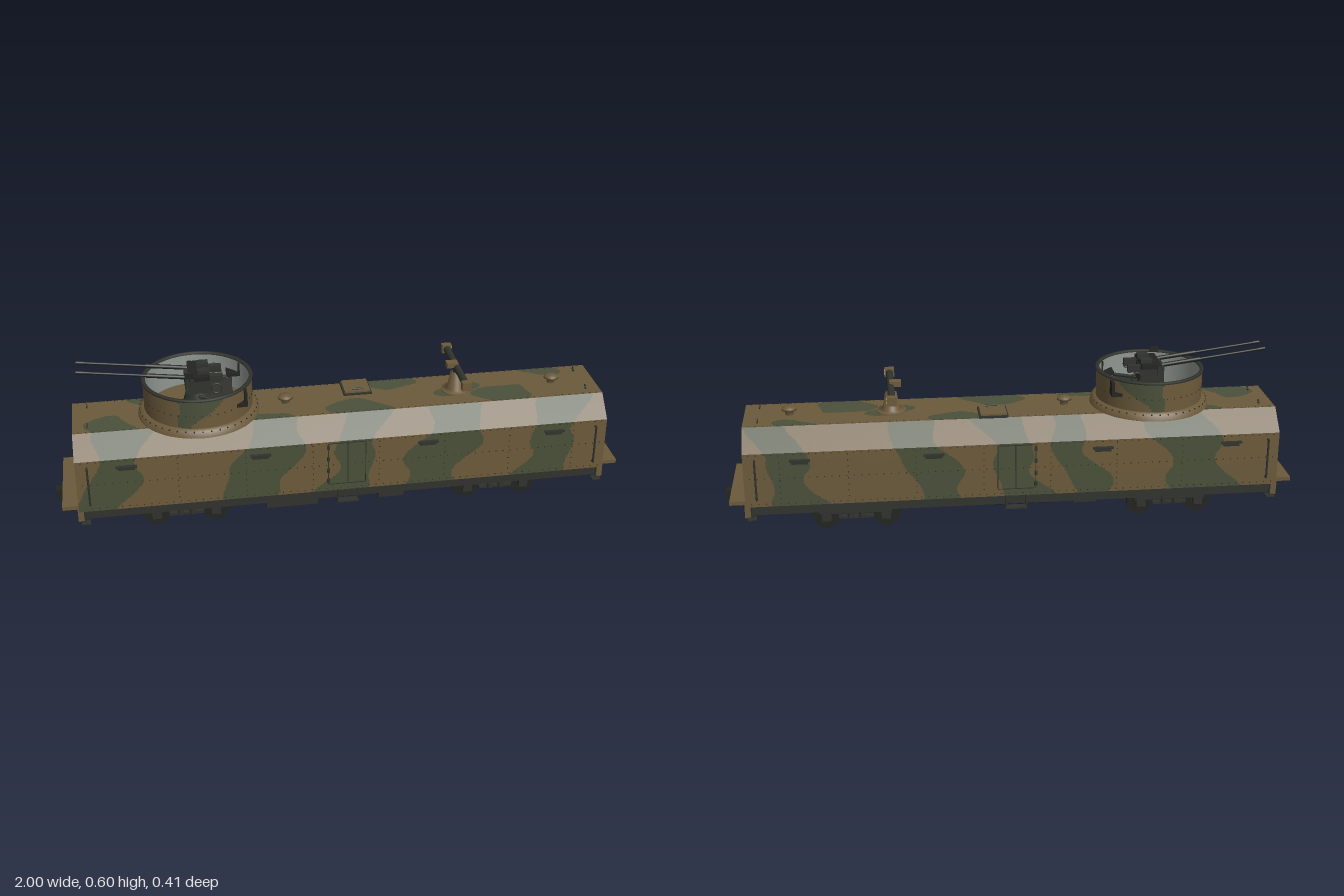
import * as THREE from 'three';
import { mergeGeometries, mergeVertices } from 'three/addons/utils/BufferGeometryUtils.js';

const mat = (name, color, side = THREE.FrontSide) => {
  const m = new THREE.MeshStandardMaterial({ color, side });
  m.name = name;
  return m;
};
const brown = mat('earthBrown', 0x6c5a3b), green = mat('camoGreen', 0x4a513a);
const dark = mat('darkSteel', 0x31332d), black = mat('gunMetal', 0x232522);
const grey = mat('interiorGrey', 0x8f9690, THREE.DoubleSide), glass = mat('lensGlass', 0xb4b8a8);
const under = mat('underfloorBrown', 0x4c4030);

const add = (parent, name, geo, material, x = 0, y = 0, z = 0) => {
  const m = new THREE.Mesh(geo, material);
  m.name = name;
  m.position.set(x, y, z);
  parent.add(m);
  return m;
};
const box = (p, name, m, w, h, d, x, y, z) => add(p, name, new THREE.BoxGeometry(w, h, d), m, x, y, z);
const cyl = (p, name, m, r0, r1, h, x, y, z, n = 24) => add(p, name, new THREE.CylinderGeometry(r1, r0, h, n), m, x, y, z);
const rod = (p, name, m, a, b, r, n = 10) => {
  const A = new THREE.Vector3(...a), B = new THREE.Vector3(...b), d = B.clone().sub(A);
  const o = add(p, name, new THREE.CylinderGeometry(r, r, d.length(), n), m);
  o.position.copy(A).add(B).multiplyScalar(0.5);
  o.quaternion.setFromUnitVectors(new THREE.Vector3(0, 1, 0), d.normalize());
  return o;
};
const lathe = (p, name, m, pts, x = 0, y = 0, z = 0, n = 64) =>
  add(p, name, new THREE.LatheGeometry(pts.map(q => new THREE.Vector2(...q)), n), m, x, y, z);

// Camouflage rules: leaning bands on the flanks, blobs on the roof
const frontBands = [[-0.8, 0.08], [-0.29, 0.1], [0.02, 0.07], [0.33, 0.1], [0.72, 0.08]];
const backBands = [[0.77, 0.07], [0.29, 0.08], [0, 0.07], [-0.22, 0.06], [-0.62, 0.1]];
const roofBlobs = [[0.05, 0.08, 0.11, 0.06], [0.2, -0.09, 0.1, 0.05], [0.42, 0, 0.08, 0.04],
  [0.58, 0.06, 0.1, 0.07], [-0.8, 0.08, 0.08, 0.07], [-0.28, 0.1, 0.09, 0.04], [-0.62, -0.1, 0.1, 0.04], [0.76, -0.1, 0.07, 0.04]];
const flankCamo = (x, y, z) => {
  const u = x - 0.4 * (y - 0.25) + 0.022 * Math.sin(23 * y + 9 * x) + 0.014 * Math.sin(47 * y - 17 * x);
  return (z > 0 ? frontBands : backBands).some(([c, w]) => Math.abs(u - c) < w);
};
const roofCamo = (x, y, z) => roofBlobs.some(([cx, cz, rx, rz]) =>
  Math.hypot((x - cx + 0.02 * Math.sin(40 * z)) / rx, (z - cz + 0.012 * Math.sin(30 * x)) / rz) < 1);
const endCamo = (x, y, z) => {
  const s = x > 0 ? z : -z;
  if (s < 0) return s > -0.11 + 0.018 * Math.sin(22 * y);
  return y > 0.215 + 0.01 * Math.sin(40 * s) && s > 0.09 - Math.max(0, y - 0.29) * 0.5;
};
const turretCamo = (x, y, z) => Math.abs(x + 0.03 * Math.sign(z) - 0.5 * (y - 0.47) + 0.01 * Math.sin(60 * y)) < 0.015 + (y - 0.42) * 0.6;

// Painted surface P(u,v): rows of strips, split wherever the colour changes
function painted(parent, name, P, nu, nv, camo, maxRun = 1e9) {
  const pos = [[], []];
  for (let j = 0; j < nv; j++) {
    const at = i => (camo(...P((i + 0.5) / nu, (j + 0.5) / nv)) ? 1 : 0);
    for (let i = 0; i < nu;) {
      const c = at(i), s = i;
      while (i < nu && i - s < maxRun && at(i) === c) i++;
      const [a, b, d, e] = [[s, j], [i, j], [i, j + 1], [s, j + 1]].map(([k, l]) => P(k / nu, l / nv));
      pos[c].push(...a, ...b, ...d, ...a, ...d, ...e);
    }
  }
  pos.forEach((arr, c) => {
    if (!arr.length) return;
    let g = new THREE.BufferGeometry();
    g.setAttribute('position', new THREE.Float32BufferAttribute(arr, 3));
    g = mergeVertices(g, 1e-5);
    g.computeVertexNormals();
    add(parent, name + (c ? 'Green' : 'Brown'), g, c ? green : brown);
  });
}

const L = 0.92, DOOR = 0.057, DOOR_TOP = 0.385;
const halfWidth = y => (y < 0.33 ? 0.18 : 0.18 - (y - 0.33));
const lerp = (a, b, t) => a + (b - a) * t;
const sectionShape = (i) => new THREE.Shape([[-0.18 + i, 0.137 + i], [0.18 - i, 0.137 + i], [0.18 - i, 0.33 - i * 0.4],
  [0.11 - i * 0.4, 0.4 - i], [-0.11 + i * 0.4, 0.4 - i], [-0.18 + i, 0.33 - i * 0.4]].map(p => new THREE.Vector2(...p)));
const extrudeX = (shape, x0, x1) => new THREE.ExtrudeGeometry(shape, { depth: x1 - x0, bevelEnabled: false })
  .rotateY(Math.PI / 2).translate(x0, 0, 0);

function hull(root) {
  const g = new THREE.Group();
  g.name = 'armouredHull';
  root.add(g);
  const panel = (name, y0, z0, y1, z1, nv, camo) =>
    painted(g, name, (u, v) => [lerp(-L, L, z0 + z1 >= 0 ? u : 1 - u), lerp(y0, y1, v), lerp(z0, z1, v)], 460, nv, camo);
  for (const s of [1, -1]) {
    panel('sidePlate', 0.137, 0.18 * s, 0.33, 0.18 * s, 44, flankCamo);
    panel('slopedPlate', 0.33, 0.18 * s, 0.4, 0.11 * s, 18, flankCamo);
  }
  panel('roofPlate', 0.4, 0.11, 0.4, -0.11, 46, roofCamo);
  const ring = sectionShape(0.001);
  ring.holes.push(sectionShape(0.01));
  add(g, 'innerLining', extrudeX(ring, -L, L), grey);
  // End walls, each with an open doorway
  const wall = sectionShape(0.002);
  wall.holes.push(new THREE.Path([[-DOOR, 0.15], [-DOOR, DOOR_TOP], [DOOR, DOOR_TOP], [DOOR, 0.15]].map(p => new THREE.Vector2(...p))));
  for (const s of [1, -1]) {
    add(g, 'endWall', extrudeX(wall, s * 0.908 - 0.006, s * 0.908 + 0.006), grey);
    const end = (a, b, y0, y1, nv) => painted(g, 'endPlate', (u, v) => {
      const y = lerp(y0, y1, v);
      return [s * 0.915, y, -s * lerp(a(y), b(y), u)];
    }, 60, nv, endCamo);
    const inset = y => halfWidth(y) - 0.004;
    end(y => -inset(y), () => -DOOR, 0.14, 0.398, 60);
    end(() => DOOR, inset, 0.14, 0.398, 60);
    end(() => -DOOR, () => DOOR, DOOR_TOP, 0.398, 4);
  }
  // Rivets along the seams
  const dots = [], dot = (x, y, z) => dots.push(new THREE.BoxGeometry(0.0035, 0.0035, 0.0035).translate(x, y, z));
  for (const s of [1, -1]) {
    for (let x = -0.9; x < 0.91; x += 0.025) {
      for (const y of [0.147, 0.24, 0.325]) dot(x, y, s * 0.18);
      dot(x, 0.4, s * 0.105);
    }
    for (let k = -3; k <= 3; k++) for (let y = 0.165; y < 0.32; y += 0.022) dot(k * 0.23 + 0.11, y, s * 0.18);
    for (let z = -0.165; z < 0.17; z += 0.022) if (Math.abs(z) > 0.06) dot(s * 0.915, 0.33, z);
  }
  add(g, 'rivets', mergeGeometries(dots), dark);
  // Vision slits, side doors and handrails
  for (const s of [1, -1]) {
    for (const x of [-0.75, -0.3, 0.28, 0.73]) {
      box(g, 'slitHood', dark, 0.07, 0.006, 0.014, x, 0.303, s * 0.186);
      box(g, 'visionSlit', dark, 0.056, 0.012, 0.008, x, 0.295, s * 0.182);
    }
    for (const x of [-0.068, 0, 0.062]) box(g, 'doorSeam', dark, 0.0025, 0.16, 0.002, x, 0.243, s * 0.1805);
    for (const y of [0.163, 0.323]) box(g, 'doorSeam', dark, 0.13, 0.0025, 0.002, -0.003, y, s * 0.1805);
    for (const y of [0.18, 0.22, 0.265, 0.31]) box(g, 'doorHinge', dark, 0.01, 0.014, 0.008, -0.068, y, s * 0.183);
    for (const x of [-0.88, 0.88]) {
      rod(g, 'handrail', dark, [x, 0.165, s * 0.19], [x, 0.31, s * 0.19], 0.0035);
      for (const y of [0.168, 0.307]) box(g, 'handrailBracket', dark, 0.006, 0.006, 0.014, x, y, s * 0.184);
    }
  }
  // Roof fittings
  box(g, 'hatchCoaming', dark, 0.1, 0.008, 0.1, 0.068, 0.403, -0.062);
  box(g, 'hatchLid', brown, 0.09, 0.008, 0.09, 0.068, 0.409, -0.062);
  rod(g, 'hatchHandle', dark, [0.05, 0.416, -0.03], [0.09, 0.416, -0.03], 0.003);
  for (const x of [-0.19, 0.765])
    lathe(g, 'roofVent', brown, [[0.014, 0], [0.014, 0.018], [0.026, 0.018], [0.024, 0.025], [0.012, 0.03], [0, 0.031]], x, 0.4, 0, 28);
  for (const x of [-0.87, 0.87]) for (const z of [-0.07, 0.07])
    add(g, 'liftingEye', new THREE.TorusGeometry(0.007, 0.002, 8, 16).rotateY(Math.PI / 2), dark, x, 0.407, z);
  // Ladder beneath the hatch
  for (const z of [-0.033, -0.09]) box(g, 'ladderRail', grey, 0.008, 0.24, 0.006, 0.03, 0.27, z);
  for (let y = 0.19; y < 0.39; y += 0.035) box(g, 'ladderRung', grey, 0.006, 0.004, 0.058, 0.03, y, -0.061);
}

function turret(root) {
  const g = new THREE.Group();
  g.name = 'gunTurret';
  g.position.set(-0.49, 0, 0);
  root.add(g);
  const ringWall = (name, y0, r0, y1, r1, nv) => painted(g, name, (u, v) => {
    const a = u * Math.PI * 2, r = lerp(r0, r1, v);
    return [r * Math.sin(a), lerp(y0, y1, v), r * Math.cos(a)];
  }, 128, nv, turretCamo, 1);
  ringWall('turretWall', 0.422, 0.185, 0.526, 0.185, 20);
  lathe(g, 'turretSkirt', brown, [[0.207, 0.4], [0.2, 0.421], [0.185, 0.425]]);
  cyl(g, 'turretBase', dark, 0.2065, 0.203, 0.01, 0, 0.4045, 0, 64);
  cyl(g, 'turretFloor', brown, 0.18, 0.18, 0.006, 0, 0.409, 0, 64);
  lathe(g, 'turretLining', grey, [[0.178, 0.528], [0.178, 0.41]]);
  lathe(g, 'turretRim', dark, [[0.185, 0.523], [0.188, 0.523], [0.188, 0.53], [0.176, 0.53], [0.176, 0.523]]);
  const dots = [];
  for (let i = 0; i < 44; i++) for (const [r, y] of [[0.185, 0.47], [0.201, 0.42]])
    dots.push(new THREE.BoxGeometry(0.004, 0.004, 0.004).translate(r, y, 0).rotateY(i * Math.PI / 22));
  add(g, 'turretRivets', mergeGeometries(dots), dark);
  // Twin gun on its mount
  cyl(g, 'gunPedestal', dark, 0.06, 0.035, 0.08, 0, 0.45, 0);
  box(g, 'gunCradle', dark, 0.085, 0.06, 0.1, 0, 0.515, 0);
  box(g, 'gunCradleTop', black, 0.07, 0.016, 0.13, 0.005, 0.546, 0);
  box(g, 'crewPlatform', dark, 0.12, 0.01, 0.2, 0.06, 0.455, 0);
  for (const s of [1, -1]) {
    const z = s * 0.037;
    rod(g, 'gunBarrel', black, [0.03, 0.535, z], [-0.4, 0.592, z], 0.0045);
    rod(g, 'barrelSleeve', black, [0, 0.539, z], [-0.17, 0.5615, z], 0.0075);
    rod(g, 'muzzle', black, [-0.375, 0.5887, z], [-0.4, 0.592, z], 0.006);
    box(g, 'gunBreech', dark, 0.08, 0.024, 0.022, 0.045, 0.535, z);
    box(g, 'ammunitionTray', dark, 0.04, 0.02, 0.03, 0.02, 0.556, z * 0.8);
    box(g, 'gunnerSeat', black, 0.045, 0.012, 0.05, 0.13, 0.475, s * 0.115);
    box(g, 'seatBack', black, 0.01, 0.05, 0.05, 0.152, 0.495, s * 0.115);
    box(g, 'seatPost', dark, 0.012, 0.06, 0.012, 0.12, 0.44, s * 0.115);
    rod(g, 'seatArm', dark, [0, 0.47, s * 0.04], [0.13, 0.467, s * 0.115], 0.006);
    box(g, 'sightArm', dark, 0.012, 0.03, 0.008, -0.02, 0.535, s * 0.073);
    add(g, 'handwheel', new THREE.TorusGeometry(0.017, 0.0025, 8, 20), dark, 0.06, 0.515, s * 0.078);
  }
  box(g, 'gunSight', black, 0.03, 0.018, 0.01, -0.03, 0.566, 0.073);
}

function rangefinder(root) {
  const g = new THREE.Group();
  g.name = 'rangefinder';
  g.position.set(0.415, 0, 0);
  root.add(g);
  lathe(g, 'pedestal', brown, [[0.05, 0.4], [0.05, 0.406], [0.03, 0.408], [0.02, 0.468], [0, 0.47]], 0, 0, 0, 32);
  cyl(g, 'pivot', dark, 0.01, 0.01, 0.02, 0, 0.473, 0);
  rod(g, 'opticalTube', dark, [0, 0.49, -0.142], [0, 0.49, 0.142], 0.0125, 20);
  box(g, 'eyepiece', brown, 0.04, 0.018, 0.03, -0.016, 0.5, 0);
  for (const s of [1, -1]) {
    box(g, 'lensHousing', brown, 0.034, 0.03, 0.024, 0, 0.49, s * 0.15);
    box(g, 'lens', glass, 0.002, 0.016, 0.014, 0.0175, 0.49, s * 0.15);
  }
}

function chassis(root) {
  const g = new THREE.Group();
  g.name = 'underframe';
  root.add(g);
  box(g, 'deck', brown, 1.95, 0.014, 0.335, 0, 0.148, 0);
  box(g, 'floorUnderside', under, 1.83, 0.006, 0.33, 0, 0.138, 0);
  for (const s of [1, -1]) {
    box(g, 'sideSill', dark, 1.84, 0.036, 0.012, 0, 0.12, s * 0.163);
    box(g, 'centreSill', dark, 1.84, 0.045, 0.014, 0, 0.115, s * 0.035);
    box(g, 'endBeam', brown, 0.02, 0.048, 0.34, s * 0.915, 0.117, 0);
    box(g, 'endBeamPatch', green, 0.002, 0.046, 0.13, s * 0.9255, 0.117, s * -0.01);
    // Coupler and uncoupling lever
    box(g, 'couplerShank', dark, 0.05, 0.022, 0.024, s * 0.945, 0.113, 0);
    box(g, 'couplerHead', black, 0.034, 0.036, 0.036, s * 0.983, 0.113, 0);
    rod(g, 'brakeHose', dark, [s * 0.925, 0.11, s * 0.06], [s * 0.962, 0.078, s * 0.06], 0.004);
    rod(g, 'uncouplingLever', dark, [s * 0.935, 0.13, s * 0.045], [s * 0.935, 0.13, s * -0.13], 0.003);
    for (const t of [1, -1]) {
      rod(g, 'cornerStepHanger', dark, [s * 0.9, 0.142, t * 0.176], [s * 0.9, 0.094, t * 0.176], 0.0025);
      box(g, 'cornerStep', dark, 0.03, 0.004, 0.03, s * 0.9, 0.093, t * 0.177);
    }
    // Hanging step below the side door
    for (const x of [-0.035, 0.035]) rod(g, 'stepHanger', dark, [x, 0.14, s * 0.178], [x, 0.096, s * 0.182], 0.003);
    box(g, 'doorStep', dark, 0.075, 0.005, 0.028, 0, 0.095, s * 0.18);
  }
  for (let x = -0.8; x < 0.81; x += 0.2) box(g, 'crossMember', dark, 0.014, 0.026, 0.32, x, 0.122, 0);
  box(g, 'batteryBox', dark, 0.18, 0.04, 0.07, -0.19, 0.086, 0.11);
  box(g, 'equipmentBox', dark, 0.09, 0.036, 0.07, 0.16, 0.088, 0.11);
  rod(g, 'airReservoir', dark, [-0.12, 0.095, -0.1], [0.08, 0.095, -0.1], 0.024, 20);
  box(g, 'brakeCylinder', dark, 0.08, 0.03, 0.05, -0.25, 0.09, -0.1);
  // Bogies
  for (const bx of [-0.557, 0.55]) {
    const b = new THREE.Group();
    b.name = 'bogie';
    b.position.x = bx;
    g.add(b);
    box(b, 'bolster', dark, 0.06, 0.018, 0.25, 0, 0.084, 0);
    cyl(b, 'pivotPlate', dark, 0.03, 0.03, 0.02, 0, 0.098, 0);
    for (const s of [1, -1]) {
      box(b, 'sideFrame', dark, 0.25, 0.014, 0.016, 0, 0.074, s * 0.105);
      box(b, 'lowerTie', dark, 0.12, 0.01, 0.014, 0, 0.053, s * 0.105);
      for (const x of [-0.02, 0.02]) rod(b, 'spring', dark, [x, 0.05, s * 0.108], [x, 0.078, s * 0.108], 0.011, 14);
    }
    for (const wx of [-0.103, 0.103]) {
      rod(b, 'axle', dark, [wx, 0.053, -0.11], [wx, 0.053, 0.11], 0.008, 14);
      for (const s of [1, -1]) {
        rod(b, 'wheel', black, [wx, 0.05, s * 0.076], [wx, 0.05, s * 0.09], 0.046, 32);
        rod(b, 'wheelFlange', black, [wx, 0.05, s * 0.073], [wx, 0.05, s * 0.078], 0.05, 32);
        rod(b, 'wheelHub', dark, [wx, 0.05, s * 0.088], [wx, 0.05, s * 0.094], 0.018, 20);
        box(b, 'axleBox', dark, 0.032, 0.036, 0.022, wx, 0.06, s * 0.105);
      }
    }
  }
}

export function createModel() {
  const root = new THREE.Group();
  root.name = 'armouredRailCar';
  [chassis, hull, turret, rangefinder].forEach(build => build(root));
  return root;
}
